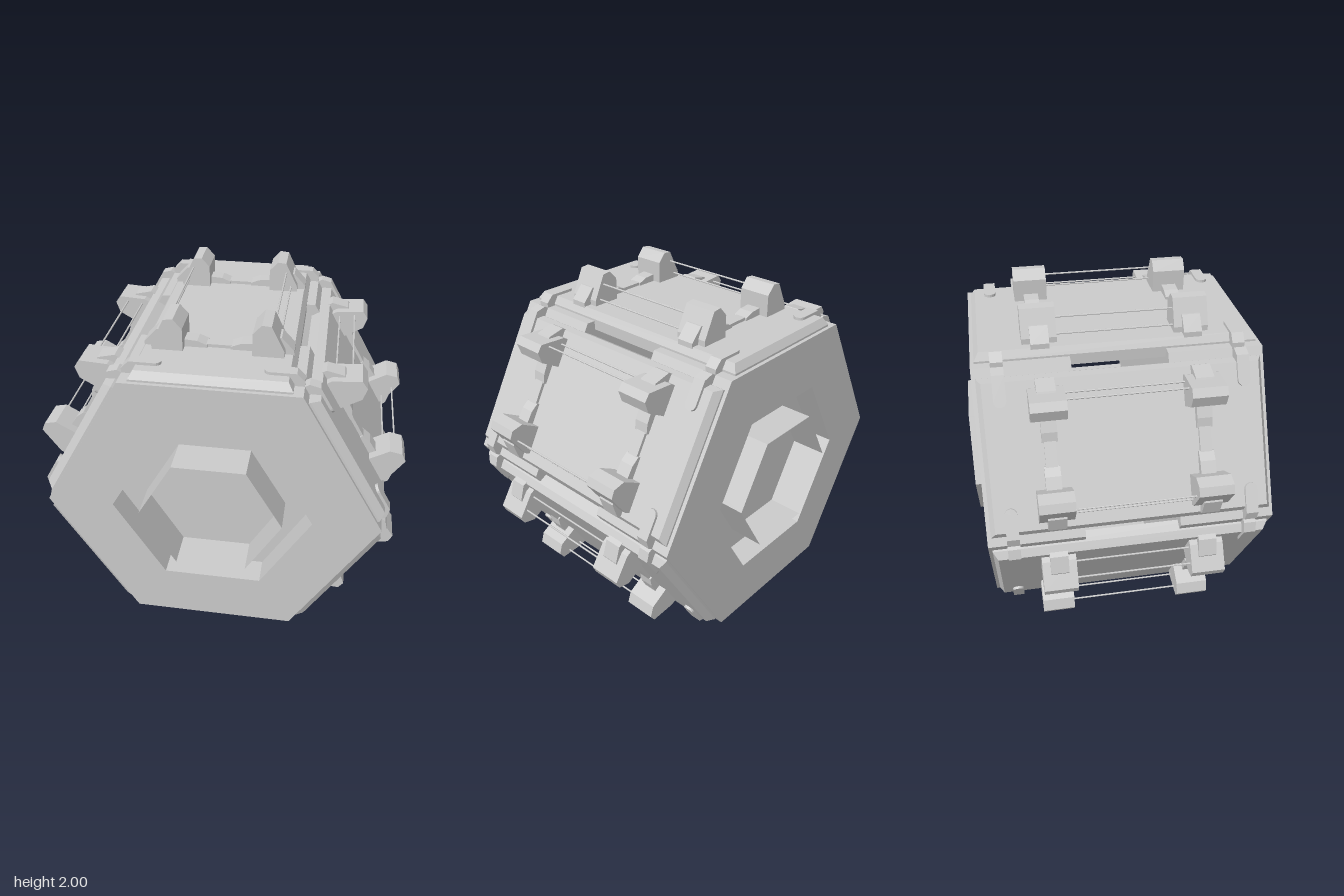
import * as THREE from 'three';

const grey = new THREE.MeshStandardMaterial({ color: 0xcccccc, flatShading: true });
const greyDouble = new THREE.MeshStandardMaterial({ color: 0xcccccc, flatShading: true, side: THREE.DoubleSide });

function add(parent, name, geometry, material = grey) {
  const mesh = new THREE.Mesh(geometry, material);
  mesh.name = name;
  parent.add(mesh);
  return mesh;
}

// Regular hexagon with corners on the x axis
function hexPoints(r) {
  return Array.from({ length: 6 }, (_, i) =>
    new THREE.Vector2(r * Math.cos(i * Math.PI / 3), r * Math.sin(i * Math.PI / 3)));
}

// Extrude a shape from z0 to z1
function slab(shape, z0, z1) {
  const g = new THREE.ExtrudeGeometry(shape, { depth: z1 - z0, bevelEnabled: false });
  return g.translate(0, 0, z0);
}

// Profile in (across, height), mirrored by s, extruded to a width centred on z
function profile(points, s, width, z) {
  const shape = new THREE.Shape(points.map(([x, y]) => new THREE.Vector2(s * x, y)));
  return slab(shape, z - width / 2, z + width / 2);
}

function box(w, h, d, x, y, z) {
  return new THREE.BoxGeometry(w, h, d).translate(x, y, z);
}

// Plate whose upper face is inset to make a chamfer
function chamferedPlate(halfX, halfZ, y0, y1, inset) {
  const g = new THREE.BoxGeometry(2 * halfX, y1 - y0, 2 * halfZ);
  const p = g.attributes.position;
  for (let i = 0; i < p.count; i++) {
    if (p.getY(i) > 0) {
      p.setX(i, Math.sign(p.getX(i)) * (halfX - inset));
      p.setZ(i, Math.sign(p.getZ(i)) * (halfZ - inset));
    }
  }
  g.translate(0, (y0 + y1) / 2, 0);
  g.computeVertexNormals();
  return g;
}

const BRACKET = [[0.175, 0.82], [0.175, 0.95], [0.22, 1.0], [0.268, 0.995], [0.335, 0.86], [0.335, 0.82]];
const WEDGE = [[0.25, 0.82], [0.25, 0.92], [0.315, 0.92], [0.38, 0.85], [0.38, 0.82]];
const FOOT = [[0.18, 0.82], [0.18, 0.87], [0.11, 0.865], [0.06, 0.845], [0.06, 0.82]];
const CLIP = [[0.283, 0.82], [0.283, 0.845], [0.41, 0.845], [0.45, 0.805], [0.45, 0.77], [0.4, 0.77]];

// One of the six sides, lying above the centre
function createSide() {
  const side = new THREE.Group();
  side.name = 'sidePanel';
  add(side, 'panelBase', box(0.8, 0.06, 1.46, 0, 0.76, 0));
  add(side, 'panelTop', chamferedPlate(0.4, 0.73, 0.79, 0.83, 0.025));

  for (const z of [-0.395, 0.395]) {
    for (const s of [-1, 1]) {
      add(side, 'bracket', profile(BRACKET, s, 0.18, z));
      add(side, 'bracketWedge', profile(WEDGE, s, 0.095, z));
      add(side, 'linkFoot', profile(FOOT, s, 0.08, z));
    }
    add(side, 'linkStrip', box(0.16, 0.03, 0.06, 0, 0.832, z));
  }

  // Thin rods between the brackets
  for (const s of [-1, 1]) {
    for (const [x, y] of [[0.27, 0.94], [0.3, 0.86]]) {
      const rod = new THREE.CylinderGeometry(0.005, 0.005, 0.64, 8);
      add(side, 'rod', rod.rotateX(Math.PI / 2).translate(s * x, y, 0));
    }
  }

  // Round-ended clips over the long edges
  for (const z of [-0.62, 0.62]) {
    for (const s of [-1, 1]) {
      add(side, 'edgeClip', profile(CLIP, s, 0.064, z));
      const end = new THREE.CylinderGeometry(0.032, 0.032, 0.025, 16);
      add(side, 'clipEnd', end.translate(s * 0.283, 0.8325, z));
    }
  }
  return side;
}

export function createModel() {
  const model = new THREE.Group();
  model.name = 'hexagonalContainer';
  const body = new THREE.Group();
  body.name = 'body';
  body.position.y = 1;
  model.add(body);

  // End blocks with a hexagonal recess
  for (const s of [-1, 1]) {
    const end = new THREE.Group();
    end.name = 'endBlock';
    const rim = new THREE.Shape(hexPoints(0.9));
    rim.holes.push(new THREE.Path(hexPoints(0.54)));
    add(end, 'endRim', slab(rim, 0.6, 0.75));
    add(end, 'endBase', slab(new THREE.Shape(hexPoints(0.9)), 0.25, 0.6));
    if (s < 0) end.rotation.y = Math.PI;
    body.add(end);
  }

  // Hollow core tube, open at both ends
  const core = new THREE.CylinderGeometry(0.385, 0.385, 1.6, 6, 1, true, Math.PI / 2);
  add(body, 'coreTube', core.rotateX(Math.PI / 2), greyDouble);

  // Six identical sides
  for (let i = 0; i < 6; i++) {
    const side = createSide();
    side.rotation.z = i * Math.PI / 3;
    body.add(side);
  }
  return model;
}
